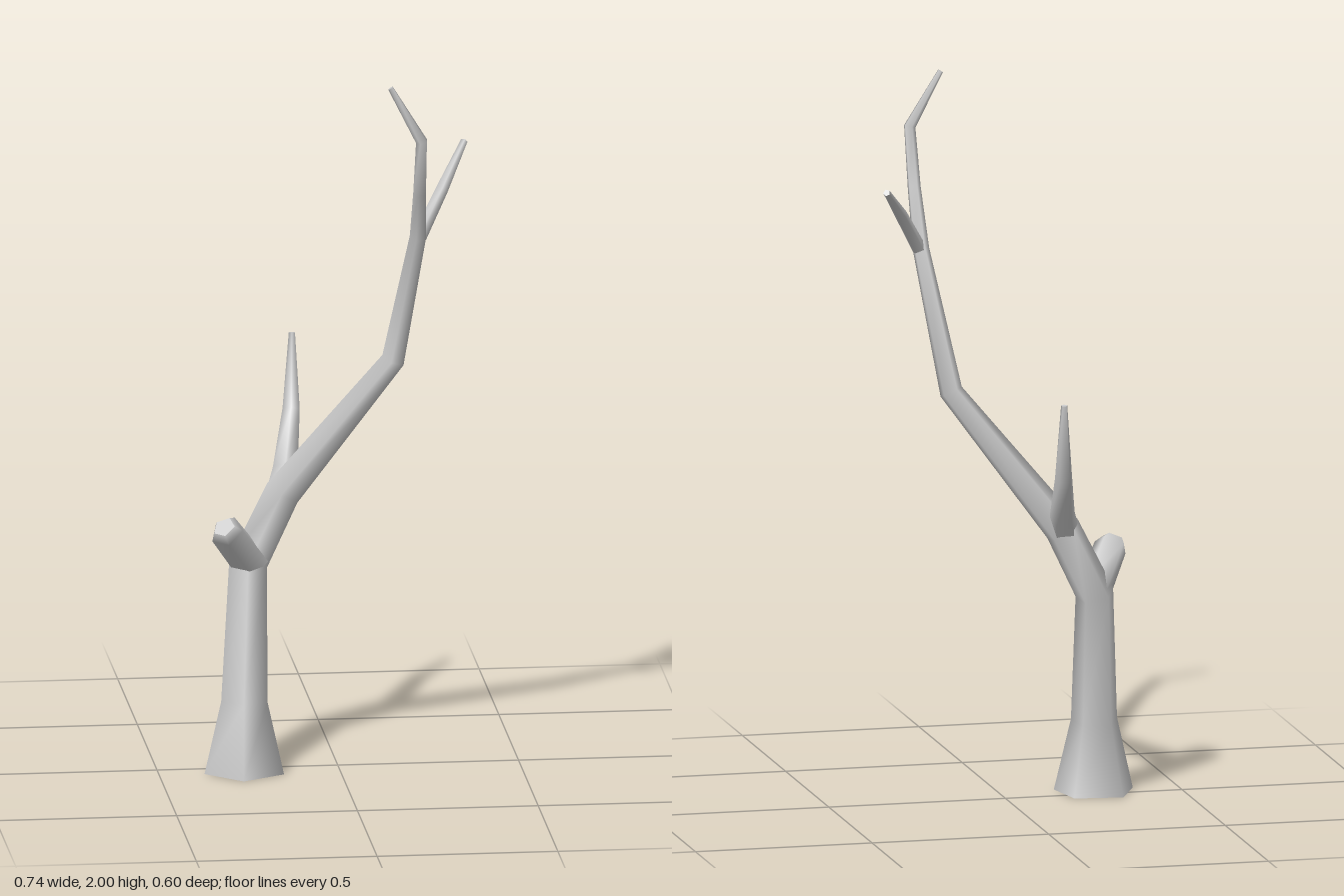
import * as THREE from 'three';

const SIDES = 5;
const PHASE = THREE.MathUtils.degToRad(25);

// Tapered five-sided limb swept along points [x, y, z, radius], closed at both ends
function limb(name, material, path, startDir) {
  const points = path.map(([x, y, z]) => new THREE.Vector3(x, y, z));
  const positions = [], index = [], rings = [];
  const orient = new THREE.Quaternion();
  let previous = new THREE.Vector3(0, 1, 0);

  points.forEach((p, i) => {
    const dir = new THREE.Vector3();
    if (i > 0) dir.add(p.clone().sub(points[i - 1]).normalize());
    if (i < points.length - 1) dir.add(points[i + 1].clone().sub(p).normalize());
    if (i === 0 && startDir) dir.copy(startDir);
    dir.normalize();
    // carry the ring along without twisting
    orient.premultiply(new THREE.Quaternion().setFromUnitVectors(previous, dir));
    previous = dir;
    const ring = [];
    for (let j = 0; j < SIDES; j++) {
      const a = PHASE + (j / SIDES) * Math.PI * 2;
      const v = new THREE.Vector3(Math.cos(a), 0, Math.sin(a)).multiplyScalar(path[i][3]);
      v.applyQuaternion(orient).add(p);
      ring.push(v);
      positions.push(v.x, v.y, v.z);
    }
    rings.push(ring);
  });

  for (let i = 0; i < path.length - 1; i++) {
    for (let j = 0; j < SIDES; j++) {
      const k = (j + 1) % SIDES;
      const a = i * SIDES + j, b = i * SIDES + k;
      index.push(a, a + SIDES, b, b, a + SIDES, b + SIDES);
    }
  }

  // flat end caps with their own vertices for a crisp rim
  [[rings[0], false], [rings[rings.length - 1], true]].forEach(([ring, top]) => {
    const base = positions.length / 3;
    ring.forEach((v) => positions.push(v.x, v.y, v.z));
    for (let j = 1; j < SIDES - 1; j++) {
      if (top) index.push(base, base + j + 1, base + j);
      else index.push(base, base + j, base + j + 1);
    }
  });

  const geometry = new THREE.BufferGeometry();
  geometry.setAttribute('position', new THREE.Float32BufferAttribute(positions, 3));
  geometry.setIndex(index);
  geometry.computeVertexNormals();
  const mesh = new THREE.Mesh(geometry, material);
  mesh.name = name;
  return mesh;
}

export function createModel() {
  const tree = new THREE.Group();
  tree.name = 'bareTree';
  const bark = new THREE.MeshStandardMaterial({ color: 0xcccccc });

  // Flared trunk leaning into the main bough and ending in the top twig
  tree.add(limb('trunk', bark, [
    [-0.262, 0, 0.036, 0.115],
    [-0.262, 0.2, 0.036, 0.067],
    [-0.243, 0.57, -0.045, 0.056],
    [-0.145, 0.76, -0.075, 0.052],
    [0.155, 1.15, -0.004, 0.034],
    [0.21, 1.53, 0.122, 0.024],
    [0.203, 1.68, 0.228, 0.019],
    [0.202, 1.84, 0.285, 0.017],
    [0.116, 1.993, 0.278, 0.008],
  ], new THREE.Vector3(0, 1, 0)));

  // Sawn-off stub low on the trunk, with a bevelled end
  tree.add(limb('stub', bark, [
    [-0.235, 0.57, -0.045, 0.052],
    [-0.312, 0.685, 0.051, 0.048],
    [-0.321, 0.701, 0.062, 0.032],
  ]));

  // Branch growing to the back
  tree.add(limb('backBranch', bark, [
    [-0.15, 0.75, -0.07, 0.044],
    [-0.132, 0.81, -0.125, 0.036],
    [-0.1, 0.945, -0.268, 0.025],
    [-0.095, 1.157, -0.293, 0.009],
  ]));

  // Side twig at the upper fork
  tree.add(limb('sideTwig', bark, [
    [0.212, 1.525, 0.122, 0.021],
    [0.282, 1.64, 0.052, 0.018],
    [0.36, 1.738, -0.098, 0.01],
  ]));

  return tree;
}
